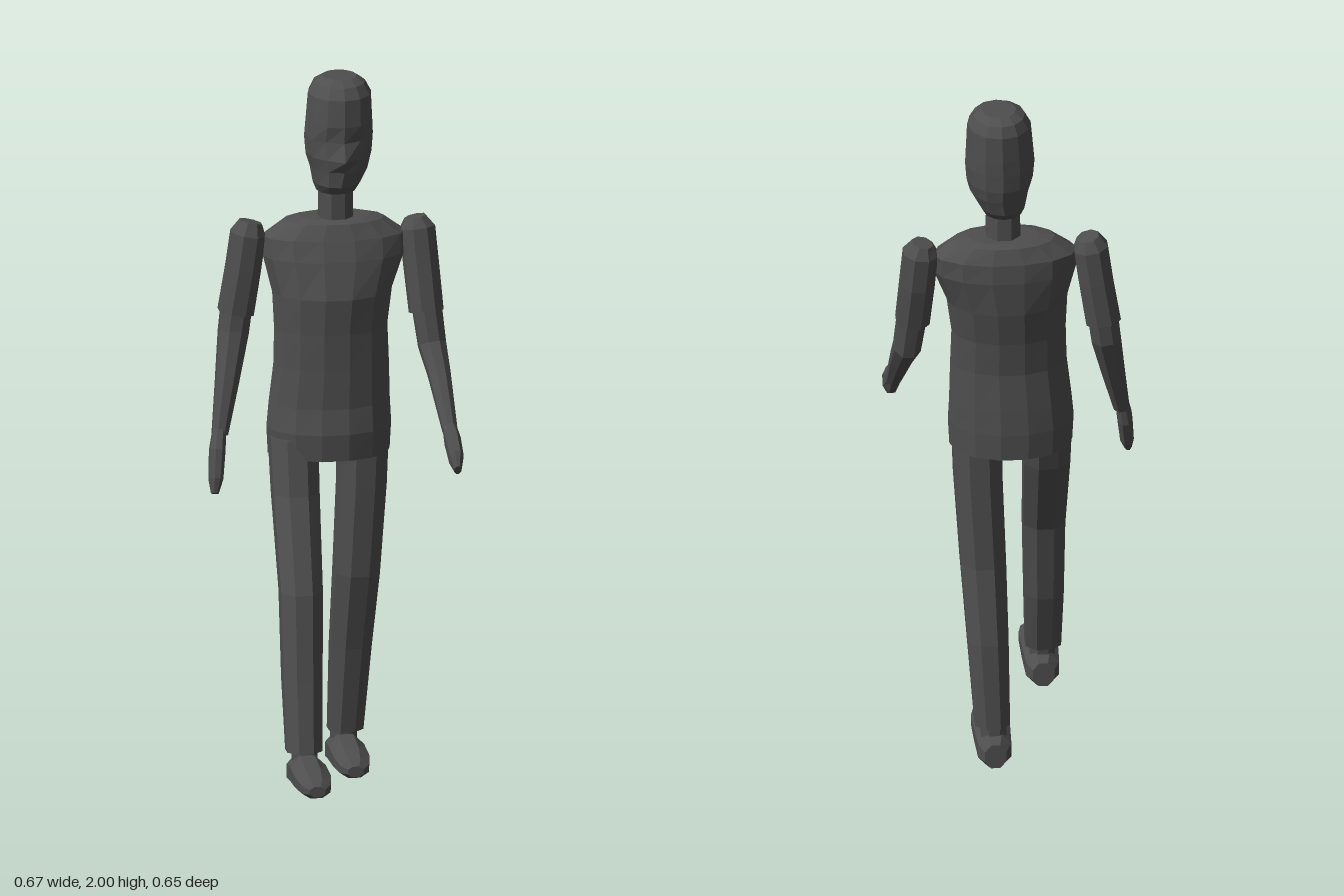
import * as THREE from 'three';

const charcoal = new THREE.MeshStandardMaterial({ color: 0x4e4e4e, flatShading: true });
charcoal.name = 'charcoal';

// Lofts elliptical rings [x, y, z, halfWidth, halfDepth] along a path, capped at both ends.
// With "axis" every ring is square to that axis, otherwise square to the path.
// "shape" may adjust a unit ring point (u, v) for ring i.
function loft(name, rings, { sides = 8, axis = null, turn = 0.5, shape = null } = {}) {
  const centres = rings.map(r => new THREE.Vector3(r[0], r[1], r[2]));
  const last = rings.length - 1;
  const grow = turn ? 1 / Math.cos(Math.PI / sides) : 1;
  const loops = rings.map((r, i) => {
    const w = axis ? axis.clone() : centres[Math.min(i + 1, last)].clone().sub(centres[Math.max(i - 1, 0)]);
    w.normalize();
    const u = new THREE.Vector3(1, 0, 0);
    u.addScaledVector(w, -u.dot(w)).normalize();
    const v = new THREE.Vector3().crossVectors(w, u);
    return Array.from({ length: sides }, (_, j) => {
      const t = (j + turn) / sides * Math.PI * 2;
      let p = [Math.cos(t) * grow, Math.sin(t) * grow];
      if (shape) p = shape(p[0], p[1], i);
      return centres[i].clone().addScaledVector(u, p[0] * r[3]).addScaledVector(v, p[1] * r[4]);
    });
  });
  const pos = [];
  const tri = (...pts) => pts.forEach(p => pos.push(p.x, p.y, p.z));
  for (let j = 0; j < sides; j++) {
    const k = (j + 1) % sides;
    for (let i = 0; i < last; i++) {
      tri(loops[i][j], loops[i][k], loops[i + 1][k]);
      tri(loops[i][j], loops[i + 1][k], loops[i + 1][j]);
    }
    tri(centres[0], loops[0][k], loops[0][j]);
    tri(centres[last], loops[last][j], loops[last][k]);
  }
  const geo = new THREE.BufferGeometry();
  geo.setAttribute('position', new THREE.Float32BufferAttribute(pos, 3));
  geo.computeVertexNormals();
  const mesh = new THREE.Mesh(geo, charcoal);
  mesh.name = name;
  return mesh;
}

const down = new THREE.Vector3(0, -1, 0);
const forward = new THREE.Vector3(0, 0, 1);

// Shoe: rings from heel to toe, with a flattened sole
function foot(name, x, heelY, heelZ, toeLift) {
  const profile = [ // distance from heel, centre height, half width, half height
    [0, 0.047, 0.03, 0.035], [0.03, 0.05, 0.046, 0.048], [0.11, 0.058, 0.05, 0.048],
    [0.2, 0.052, 0.05, 0.036], [0.255, 0.042, 0.04, 0.026], [0.277, 0.038, 0.022, 0.015],
  ];
  return loft(name, profile.map(([d, y, a, b]) => [x, heelY + y + toeLift * d / 0.277, heelZ + d, a, b]),
    { axis: forward });
}

export function createModel() {
  const model = new THREE.Group();
  model.name = 'walkingFigure';

  // Head with a squared crown, ridged nose and narrow chin
  model.add(loft('head', [
    [0.047, 2.0, -0.228, 0.048, 0.055],
    [0.046, 1.985, -0.226, 0.072, 0.085],
    [0.046, 1.955, -0.222, 0.088, 0.103],
    [0.044, 1.88, -0.218, 0.093, 0.107],
    [0.043, 1.835, -0.218, 0.096, 0.105],
    [0.043, 1.785, -0.216, 0.092, 0.104],
    [0.044, 1.75, -0.214, 0.082, 0.098],
    [0.036, 1.705, -0.212, 0.066, 0.088],
    [0.034, 1.68, -0.212, 0.054, 0.062],
  ], {
    sides: 12, axis: down, turn: 0,
    shape: (u, v, i) => {
      const nose = v > 0.99 && i === 5 ? 1.2 : 1;
      const socket = i === 4 && v > 0.8 && v < 0.99 ? 0.92 : 1;
      return [u, v * nose * socket];
    },
  }));
  model.add(loft('neck', [
    [0.033, 1.71, -0.205, 0.045, 0.047], [0.033, 1.56, -0.208, 0.047, 0.048],
  ], { axis: down }));

  // Torso with sloping shoulders, slight waist and straight hem
  model.add(loft('torso', [
    [0.033, 1.605, -0.215, 0.1, 0.06],
    [0.03, 1.597, -0.215, 0.14, 0.08],
    [0.028, 1.555, -0.213, 0.2, 0.1],
    [0.028, 1.5, -0.204, 0.198, 0.114],
    [0.02, 1.4, -0.186, 0.167, 0.126],
    [0.015, 1.3, -0.178, 0.158, 0.114],
    [0.015, 1.2, -0.172, 0.161, 0.11],
    [0.01, 1.09, -0.174, 0.169, 0.117],
    [0.008, 1.02, -0.169, 0.174, 0.127],
    [0.008, 0.945, -0.17, 0.17, 0.125],
  ], { sides: 14, axis: down, turn: 0 }));

  // Left arm, swung forward
  model.add(loft('leftUpperArm', [
    [0.256, 1.59, -0.215, 0.028, 0.03], [0.262, 1.56, -0.212, 0.047, 0.048],
    [0.27, 1.46, -0.198, 0.047, 0.05], [0.28, 1.33, -0.17, 0.046, 0.046],
  ]));
  model.add(loft('leftForearm', [
    [0.28, 1.36, -0.175, 0.04, 0.042], [0.293, 1.24, -0.15, 0.037, 0.042],
    [0.303, 1.17, -0.085, 0.03, 0.032], [0.313, 1.045, 0.035, 0.02, 0.022],
  ]));
  model.add(loft('leftHand', [
    [0.312, 1.055, 0.025, 0.018, 0.018], [0.314, 1.025, 0.075, 0.021, 0.038],
    [0.315, 0.99, 0.135, 0.019, 0.036], [0.314, 0.968, 0.167, 0.01, 0.016],
  ]));

  // Right arm, hanging back
  model.add(loft('rightUpperArm', [
    [-0.2, 1.593, -0.225, 0.03, 0.032], [-0.208, 1.56, -0.223, 0.047, 0.049],
    [-0.222, 1.46, -0.225, 0.047, 0.05], [-0.242, 1.335, -0.228, 0.048, 0.048],
  ]));
  model.add(loft('rightForearm', [
    [-0.238, 1.37, -0.228, 0.042, 0.042], [-0.25, 1.28, -0.22, 0.041, 0.042],
    [-0.275, 1.15, -0.175, 0.032, 0.034], [-0.302, 1.015, -0.13, 0.022, 0.023],
  ]));
  model.add(loft('rightHand', [
    [-0.303, 1.03, -0.132, 0.018, 0.02], [-0.312, 0.975, -0.112, 0.021, 0.037],
    [-0.32, 0.9, -0.087, 0.019, 0.034], [-0.325, 0.862, -0.073, 0.01, 0.016],
  ]));

  // Left leg, trailing
  model.add(loft('leftLeg', [
    [0.103, 1.0, -0.17, 0.068, 0.074], [0.1, 0.85, -0.175, 0.066, 0.073],
    [0.087, 0.59, -0.186, 0.062, 0.07], [0.078, 0.37, -0.23, 0.056, 0.062],
    [0.068, 0.12, -0.258, 0.048, 0.048],
  ], { axis: down }));
  model.add(loft('leftAnkle', [
    [0.066, 0.16, -0.262, 0.035, 0.035], [0.064, 0.06, -0.265, 0.035, 0.035],
  ]));
  model.add(foot('leftFoot', 0.064, 0, -0.325, 0.015));

  // Right leg, striding forward
  model.add(loft('rightLeg', [
    [-0.095, 1.0, -0.15, 0.066, 0.074], [-0.096, 0.85, -0.105, 0.064, 0.068],
    [-0.1, 0.6, 0.015, 0.058, 0.062], [-0.104, 0.36, 0.06, 0.054, 0.06],
    [-0.107, 0.17, 0.112, 0.049, 0.048],
  ], { axis: down }));
  model.add(loft('rightAnkle', [
    [-0.106, 0.2, 0.108, 0.034, 0.034], [-0.104, 0.1, 0.115, 0.034, 0.034],
  ]));
  model.add(foot('rightFoot', -0.104, 0.053, 0.053, 0.02));

  return model;
}
